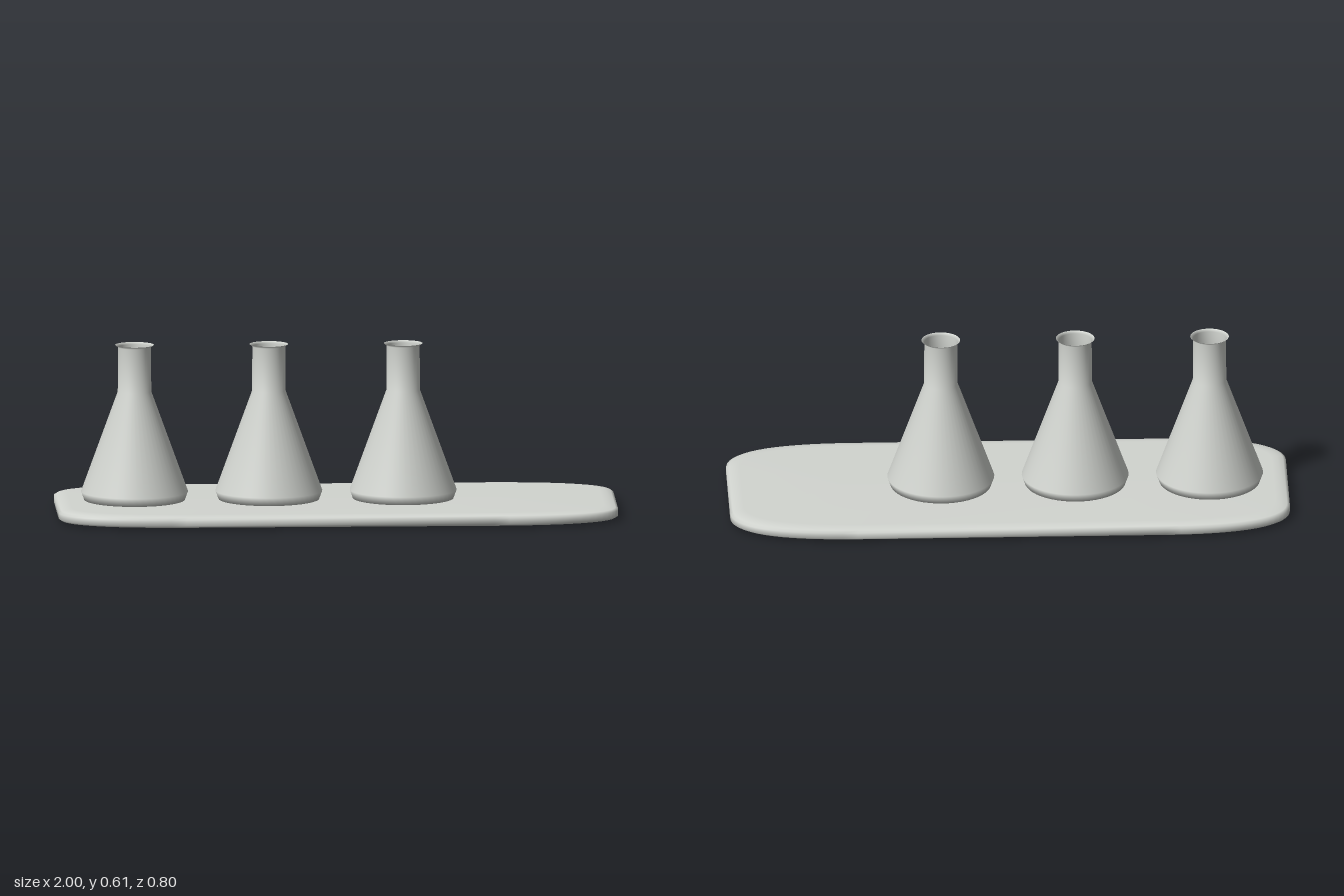
import * as THREE from 'three';

const mat = (name, color, side = THREE.FrontSide) => {
  const m = new THREE.MeshStandardMaterial({ color, side });
  m.name = name;
  return m;
};

// Closed outline of the tray with broad, soft corners
function trayOutline() {
  const s = new THREE.Shape();
  const x = 1, z = 0.4, cx = 0.55, cz = 0.2;
  s.moveTo(x, -cz);
  s.lineTo(x, cz);
  s.quadraticCurveTo(x, z, cx, z);
  s.lineTo(-cx, z);
  s.quadraticCurveTo(-x, z, -x, cz);
  s.lineTo(-x, -cz);
  s.quadraticCurveTo(-x, -z, -cx, -z);
  s.lineTo(cx, -z);
  s.quadraticCurveTo(x, -z, x, -cz);
  return s.getPoints(16).slice(0, -1);
}

// Tray skin: the outline swept through [inset, height] rings, bottom to top
function trayGeometry() {
  const outline = trayOutline(), n = outline.length;
  const rings = [[0.4, 0], [0.05, 0.001], [0.03, 0.003], [0.01, 0.007], [0, 0.014],
    [0, 0.035], [0.01, 0.042], [0.03, 0.046], [0.05, 0.048], [0.4, 0.05]];
  const pos = [], idx = [];
  for (const [inset, y] of rings)
    for (const p of outline) pos.push(p.x * (1 - inset), y, p.y * (1 - inset / 0.4));
  for (let r = 0; r < rings.length - 1; r++)
    for (let i = 0; i < n; i++) {
      const a = r * n + i, b = r * n + (i + 1) % n, c = a + n, d = b + n;
      idx.push(a, c, b, b, c, d);
    }
  const g = new THREE.BufferGeometry();
  g.setAttribute('position', new THREE.Float32BufferAttribute(pos, 3));
  g.setIndex(idx);
  g.computeVertexNormals();
  return g;
}

const lathe = (points) =>
  new THREE.LatheGeometry(points.map(([r, y]) => new THREE.Vector2(r, y)), 48);

export function createModel() {
  const model = new THREE.Group();
  model.name = 'flaskTray';
  const add = (parent, name, geometry, material) => {
    const mesh = new THREE.Mesh(geometry, material);
    mesh.name = name;
    parent.add(mesh);
    return mesh;
  };

  const trayMat = mat('trayGrey', 0xd2d5d0);
  const glassMat = mat('glassGrey', 0xd2d5d0, THREE.DoubleSide);
  const liquids = [mat('purpleLiquid', 0x7038cc), mat('tealLiquid', 0x3aa898), mat('amberLiquid', 0xc8943a)];

  add(model, 'tray', trayGeometry(), trayMat);

  // Thin open conical flask with a flared lip
  const flaskGeo = lathe([[0, 0.05], [0.18, 0.05], [0.191, 0.08], [0.06, 0.44], [0.059, 0.6], [0.069, 0.608]]);
  // Liquid filling the lower part of the cone
  const liquidGeo = lathe([[0, 0.055], [0.172, 0.055], [0.183, 0.08], [0.122, 0.25]]);
  const surfaceGeo = new THREE.CircleGeometry(0.122, 48).rotateX(-Math.PI / 2);

  liquids.forEach((liquid, i) => {
    const flask = new THREE.Group();
    flask.name = 'flask' + (i + 1);
    flask.position.x = -0.72 + i * 0.48;
    add(flask, 'glass', flaskGeo, glassMat);
    add(flask, 'liquid', liquidGeo, liquid);
    add(flask, 'liquidSurface', surfaceGeo, liquid).position.y = 0.25;
    model.add(flask);
  });
  return model;
}
